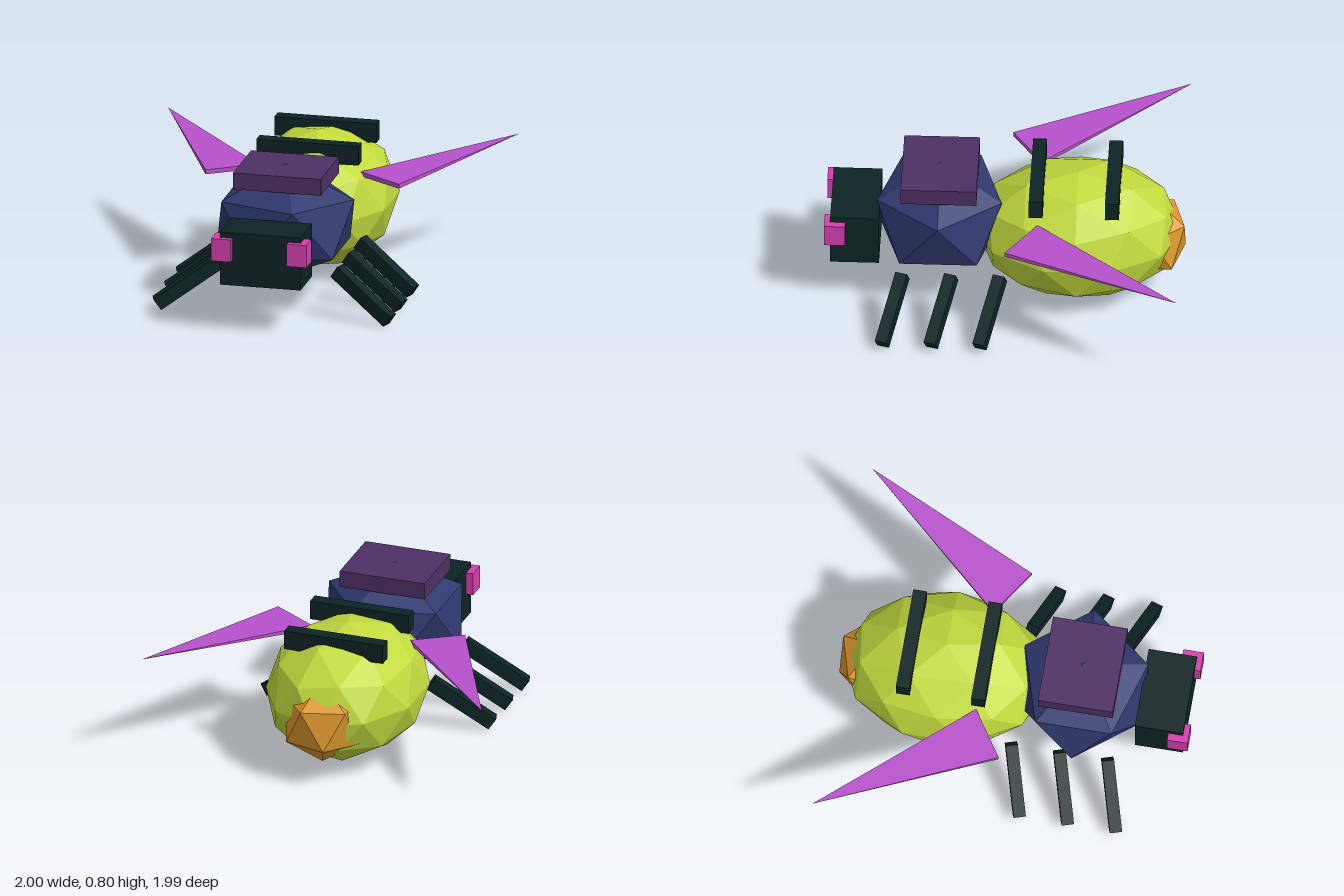
import * as THREE from 'three';
import { ConvexGeometry } from 'three/addons/geometries/ConvexGeometry.js';

const flat = (name, color) => {
  const m = new THREE.MeshStandardMaterial({ color, flatShading: true });
  m.name = name;
  return m;
};

export function createModel() {
  const group = new THREE.Group();
  const lime = flat('lime', 0xc2da3e);
  const navy = flat('navy', 0x2f396f);
  const black = flat('blackGreen', 0x0d2424);
  const plum = flat('plum', 0x4f3066);
  const violet = flat('violet', 0xb752cc);
  const pink = flat('pink', 0xd63fb0);
  const orange = flat('orange', 0xdf992e);

  const add = (name, geometry, material) => {
    const mesh = new THREE.Mesh(geometry, material);
    mesh.name = name;
    group.add(mesh);
    return mesh;
  };
  const box = (name, material, size, pos) => {
    const mesh = add(name, new THREE.BoxGeometry(...size), material);
    mesh.position.set(...pos);
    return mesh;
  };
  // Faceted ellipsoid with one corner at the very top
  const blob = (name, material, detail, radii, pos) => {
    const g = new THREE.IcosahedronGeometry(1, detail);
    g.rotateZ(-Math.atan(2 / (1 + Math.sqrt(5))));
    g.scale(...radii);
    g.computeVertexNormals();
    add(name, g, material).position.set(...pos);
  };

  // Body
  blob('abdomen', lime, 1, [0.44, 0.383, 0.578], [0, 0.388, -0.405]);
  blob('thorax', navy, 0, [0.436, 0.324, 0.406], [0, 0.484, 0.36]);
  blob('tail', orange, 0, [0.24, 0.246, 0.206], [0, 0.35, -0.82]);
  box('backPlate', plum, [0.5, 0.095, 0.42], [0, 0.753, 0.36]);
  box('head', black, [0.46, 0.305, 0.27], [0, 0.428, 0.825]);

  // Raised bars across the abdomen
  for (const z of [-0.18, -0.602]) box('abdomenBar', black, [0.58, 0.11, 0.077], [0, 0.717, z]);

  for (const s of [1, -1]) {
    const side = s > 0 ? 'left' : 'right';
    box(side + 'Eye', pink, [0.112, 0.13, 0.115], [s * 0.215, 0.485, 0.935]);

    // Wing: thin rectangular root tapering to a point
    const wing = [[1, 0.638, -0.99]];
    for (const y of [0.586, 0.612]) wing.push([0.55, y, -0.02], [0.29, y, -0.19]);
    add(side + 'Wing', new ConvexGeometry(wing.map(([x, y, z]) => new THREE.Vector3(s * x, y, z))), violet);

    // Legs: straight bars slanting outward, down and forward
    const along = new THREE.Vector3(s * 0.325, -0.235, 0.1);
    const length = along.length();
    along.normalize();
    const across = new THREE.Vector3(-along.z, 0, along.x).normalize();
    const up = new THREE.Vector3().crossVectors(across, along);
    const basis = new THREE.Matrix4().makeBasis(along, up, across);
    for (const z of [0.605, 0.335, 0.065]) {
      const leg = box(side + 'Leg', black, [length, 0.076, 0.068], [s * 0.5, 0.158, z]);
      leg.quaternion.setFromRotationMatrix(basis);
    }
  }
  return group;
}
